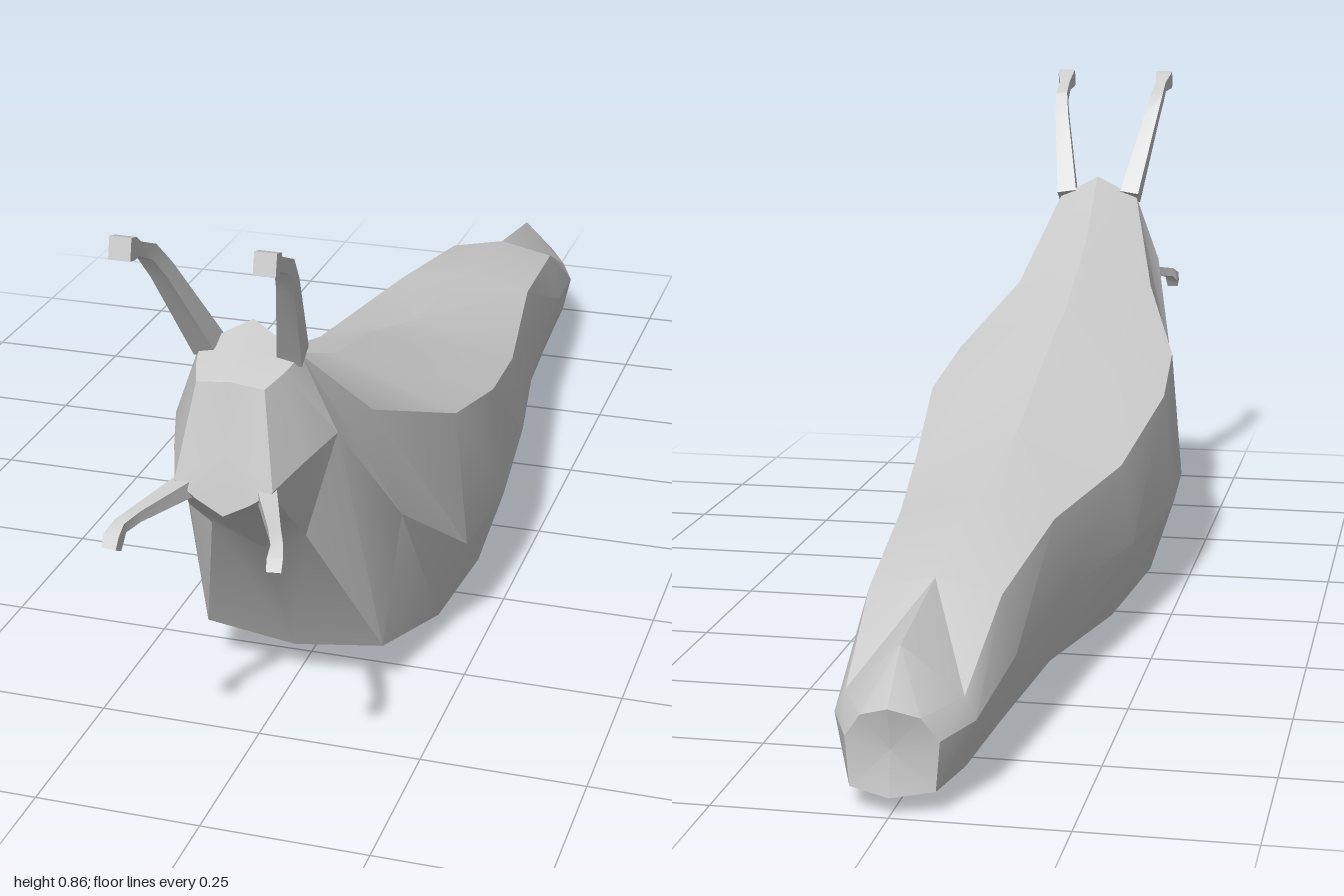
import * as THREE from 'three';
import { toCreasedNormals } from 'three/addons/utils/BufferGeometryUtils.js';

const material = new THREE.MeshStandardMaterial({ color: 0xcccccc });

// Skin a row of closed rings (arrays of Vector3) and cap both ends
function loft(rings, name) {
  const pos = [];
  const n = rings[0].length;
  const tri = (...pts) => pts.forEach(p => pos.push(p.x, p.y, p.z));
  for (let i = 0; i < rings.length - 1; i++) {
    for (let j = 0; j < n; j++) {
      const k = (j + 1) % n;
      const a = rings[i][j], b = rings[i][k], c = rings[i + 1][k], d = rings[i + 1][j];
      if (j < n / 2) { tri(a, b, c); tri(a, c, d); }
      else { tri(a, b, d); tri(b, c, d); }
    }
  }
  const centre = ring => ring.reduce((s, p) => s.add(p), new THREE.Vector3()).divideScalar(n);
  const first = rings[0], last = rings[rings.length - 1];
  const c0 = centre(first), c1 = centre(last);
  for (let j = 0; j < n; j++) {
    const k = (j + 1) % n;
    tri(c0, first[k], first[j]);
    tri(c1, last[j], last[k]);
  }
  const geometry = new THREE.BufferGeometry();
  geometry.setAttribute('position', new THREE.Float32BufferAttribute(pos, 3));
  const mesh = new THREE.Mesh(toCreasedNormals(geometry, 0.42), material);
  mesh.name = name;
  return mesh;
}

// Half section: ridge, shoulder, flank, sole edge, sole middle; mirrored to a ring
function bodyRing(half) {
  const pts = half.map(p => new THREE.Vector3(...p));
  const mirrored = pts.slice(1, 4).reverse().map(p => new THREE.Vector3(-p.x, p.y, p.z));
  return [...pts, ...mirrored];
}

// Upright section at one z
const section = (z, ridge, shoulder, flank, edge, sole) =>
  [[0, ridge, z], [...shoulder, z], [...flank, z], [...edge, z], [0, sole, z]];

// Four-sided stalk along points [x, y, z, radius]
function stalk(points, side, name) {
  const centres = points.map(p => new THREE.Vector3(p[0] * side, p[1], p[2]));
  const rings = centres.map((c, i) => {
    const t = centres[Math.min(i + 1, centres.length - 1)].clone()
      .sub(centres[Math.max(i - 1, 0)]).normalize();
    const u = new THREE.Vector3(1, 0, 0);
    u.addScaledVector(t, -u.dot(t)).normalize();
    const v = t.clone().cross(u);
    return [0, 1, 2, 3].map(k => {
      const angle = Math.PI / 4 + k * Math.PI / 2;
      return c.clone().addScaledVector(u, Math.cos(angle) * points[i][3])
        .addScaledVector(v, Math.sin(angle) * points[i][3]);
    });
  });
  return loft(rings, name);
}

export function createModel() {
  const group = new THREE.Group();
  group.name = 'slug';

  // Body, from the face to the tail
  const sections = [
    // face, chin and neck lean forward
    [[0, 0.613, 0.835], [0.05, 0.605, 0.83], [0.072, 0.47, 0.868], [0.04, 0.447, 0.872], [0, 0.425, 0.873]],
    [[0, 0.638, 0.785], [0.065, 0.615, 0.79], [0.098, 0.49, 0.8], [0.075, 0.40, 0.805], [0, 0.385, 0.795]],
    [[0, 0.665, 0.73], [0.075, 0.625, 0.745], [0.122, 0.505, 0.73], [0.072, 0.335, 0.73], [0, 0.298, 0.715]],
    // trunk
    section(0.58, 0.55, [0.128, 0.475], [0.172, 0.31], [0.142, 0.08], 0.06),
    section(0.37, 0.463, [0.198, 0.385], [0.218, 0.16], [0.172, 0.025], 0.004),
    section(0.18, 0.42, [0.209, 0.345], [0.23, 0.16], [0.188, 0.03], 0.016),
    section(-0.09, 0.335, [0.175, 0.282], [0.196, 0.15], [0.16, 0.022], 0.002),
    section(-0.42, 0.295, [0.122, 0.273], [0.142, 0.16], [0.115, 0.045], 0.03),
    section(-0.71, 0.255, [0.098, 0.235], [0.118, 0.145], [0.095, 0.045], 0.03),
    // tail
    [[0, 0.22, -0.92], [0.084, 0.145, -0.9], [0.1, 0.112, -0.9], [0.085, 0.045, -0.9], [0, 0.03, -0.92]],
    [[0, 0.155, -1], [0.042, 0.14, -0.985], [0.066, 0.105, -0.975], [0.06, 0.034, -0.975], [0, 0.028, -0.995]],
  ];
  group.add(loft(sections.map(bodyRing), 'body'));

  // Eye stalks and feelers
  const eyePath = [
    [0.062, 0.625, 0.745, 0.026], [0.09, 0.77, 0.84, 0.018], [0.097, 0.808, 0.872, 0.016],
    [0.098, 0.828, 0.915, 0.014], [0.1, 0.838, 0.94, 0.022], [0.1, 0.842, 0.956, 0.022],
  ];
  const feelerPath = [
    [0.055, 0.458, 0.845, 0.02], [0.1, 0.447, 0.94, 0.012], [0.113, 0.441, 0.967, 0.012],
    [0.117, 0.43, 0.982, 0.016], [0.118, 0.416, 0.99, 0.015],
  ];
  for (const side of [1, -1]) {
    const label = side > 0 ? 'left' : 'right';
    group.add(stalk(eyePath, side, label + 'EyeStalk'));
    group.add(stalk(feelerPath, side, label + 'Feeler'));
  }
  return group;
}
